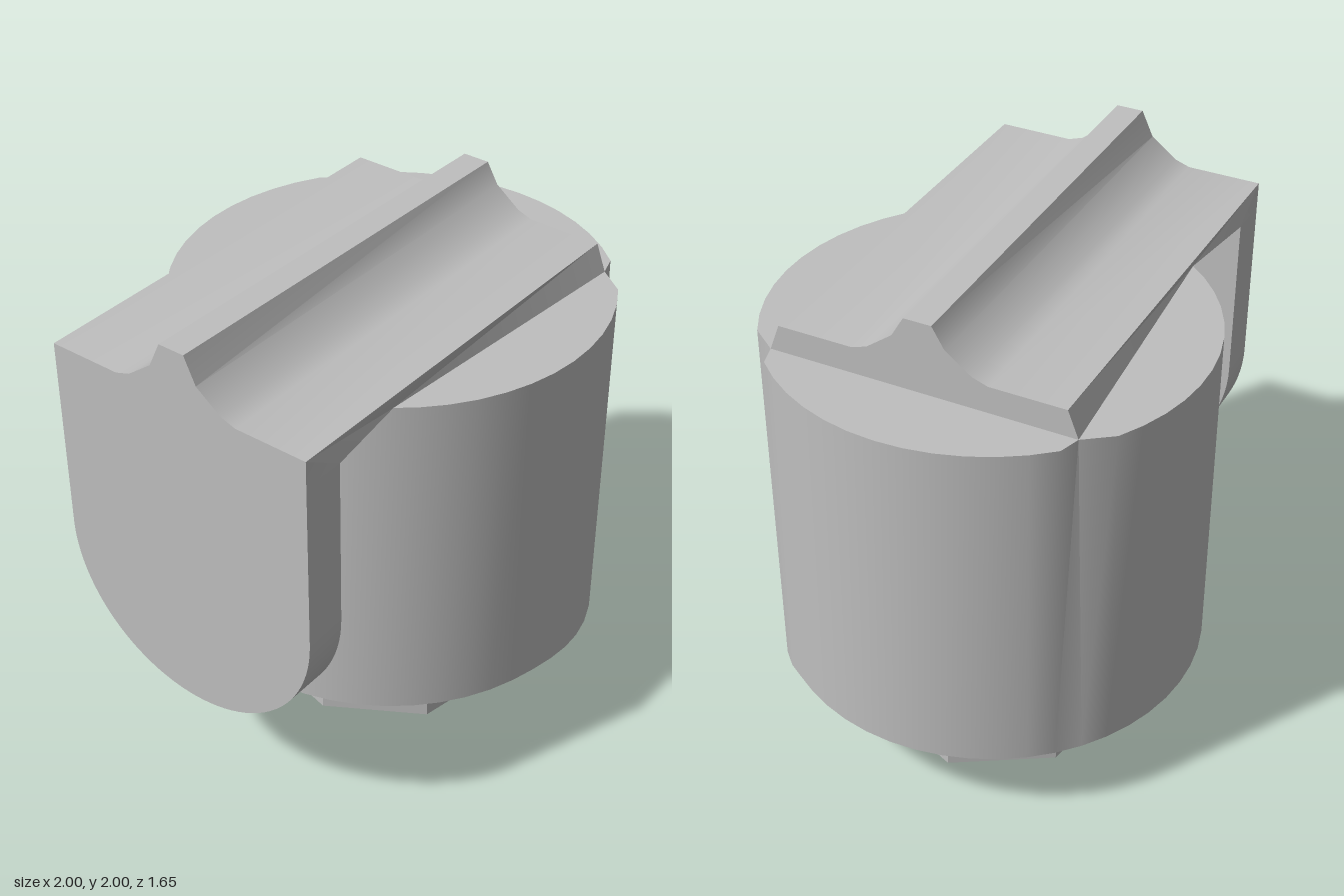
import * as THREE from 'three';
import { toCreasedNormals } from 'three/addons/utils/BufferGeometryUtils.js';

const V = (x, y, z) => new THREE.Vector3(x, y, z);

// Turns a list of corner triples into a geometry with sharp edges kept
function fromTriangles(points, crease = 0.6) {
  const g = new THREE.BufferGeometry().setFromPoints(points);
  return toCreasedNormals(g, crease);
}

// Joins successive closed loops (listed from top to bottom), capped at both ends
function loft(loops, topCentre, bottomCentre) {
  const pts = [];
  const n = loops[0].length;
  const last = loops[loops.length - 1];
  for (let i = 0; i < n; i++) {
    const j = (i + 1) % n;
    pts.push(topCentre, loops[0][j], loops[0][i]);
    for (let k = 0; k + 1 < loops.length; k++) {
      const a = loops[k], b = loops[k + 1];
      pts.push(a[i], a[j], b[j], a[i], b[j], b[i]);
    }
    pts.push(last[i], last[j], bottomCentre);
  }
  return pts;
}

const CX = 0.175;

// Main drum: dented top rim beside the bar, dipped lip under the front
function bodyGeometry() {
  const n = 50, r = 0.825;
  const top = [], bottom = [], inner = [];
  for (let i = 0; i < n; i++) {
    const deg = (i * 360) / n, a = THREE.MathUtils.degToRad(deg);
    const c = Math.cos(a), s = Math.sin(a);
    const dented = i === 7 || i === n - 7;
    top.push(dented ? V(0.695, 1.7, Math.sign(s) * 0.59) : V(CX + r * c, 1.7, r * s));
    const dip = THREE.MathUtils.smoothstep(deg, 32, 50) * (1 - THREE.MathUtils.smoothstep(deg, 66, 106));
    bottom.push(V(CX + r * c, 0.335 - 0.062 * dip, r * s));
    inner.push(V(CX + 0.5 * c, 0.335 - 0.045 * dip, 0.5 * s));
  }
  return fromTriangles(loft([top, bottom, inner], V(CX, 1.7, 0), V(CX, 0.335, 0)));
}

// Eight-sided foot, with one front corner leaning inwards
function footGeometry() {
  const ring = (y, x1, z1) => {
    const loop = [];
    for (let i = 0; i < 8; i++) {
      const a = THREE.MathUtils.degToRad(-8.4 + i * 45);
      loop.push(V(CX + 0.545 * Math.cos(a), y, THREE.MathUtils.clamp(0.545 * Math.sin(a), -0.515, 0.52)));
    }
    loop[1].set(x1, y, z1);
    return loop;
  };
  const loops = [ring(0.34, 0.58, 0.47), ring(0, 0.5, 0.45)];
  return fromTriangles(loft(loops, V(CX, 0.34, 0), V(CX, 0, 0)), 0.3);
}

// Ridged bar: one half built, the other mirrored across z
function barGeometry() {
  const x0 = -1, x1 = 0.695, base = 1.7;
  const profile = [[0.55, 1.805], [0.26, 1.805], [0.2, 1.825], [0.1, 1.9], [0.053, 2], [0, 2]];
  const A = profile.map(([z, y]) => V(x0, y, z));
  const B = profile.map(([z, y]) => V(x1, y > 1.95 ? y - 0.02 : y, z));
  const O0 = V(x0, base, 0), O1 = V(x1, base, 0);
  const low = V(x0, base, 0.55), p1 = V(-0.83, base, 0.55);
  const p2 = V(-0.48, base, 0.5), p3 = V(x1, base, 0.59);
  const half = [
    // side facets
    A[0], low, p1, A[0], p1, p2, A[0], p2, B[0], p2, p3, B[0],
    // underside
    O0, O1, p3, O0, p3, p2, O0, p2, p1, O0, p1, low,
    // lower parts of the ends
    O1, B[0], p3, O0, low, A[0],
  ];
  for (let i = 0; i + 1 < profile.length; i++) {
    half.push(A[i], B[i], B[i + 1], A[i], B[i + 1], A[i + 1]);
    half.push(O1, B[i + 1], B[i], O0, A[i], A[i + 1]);
  }
  const mirrored = [];
  for (let i = 0; i < half.length; i += 3) {
    for (const k of [0, 2, 1]) {
      const p = half[i + k];
      mirrored.push(V(p.x, p.y, -p.z));
    }
  }
  return fromTriangles([...half, ...mirrored], 0.45);
}

// Hanging plate with a half-round lower end
function flapGeometry() {
  const s = new THREE.Shape();
  s.moveTo(0.55, 1.7);
  s.lineTo(-0.55, 1.7);
  s.lineTo(-0.55, 1.04);
  s.absarc(0, 1.04, 0.55, Math.PI, Math.PI * 2, false);
  s.closePath();
  const g = new THREE.ExtrudeGeometry(s, { depth: 0.17, bevelEnabled: false, curveSegments: 24 });
  g.rotateY(Math.PI / 2).translate(-1, 0, 0);
  return toCreasedNormals(g, 0.6);
}

export function createModel() {
  const grey = new THREE.MeshStandardMaterial({ color: 0xbfbfbf });
  grey.name = 'grey';
  const model = new THREE.Group();
  model.name = 'latchKnob';
  const parts = {
    body: bodyGeometry(),
    foot: footGeometry(),
    ridgedBar: barGeometry(),
    hangingFlap: flapGeometry(),
  };
  for (const [name, geometry] of Object.entries(parts)) {
    const mesh = new THREE.Mesh(geometry, grey);
    mesh.name = name;
    model.add(mesh);
  }
  return model;
}
